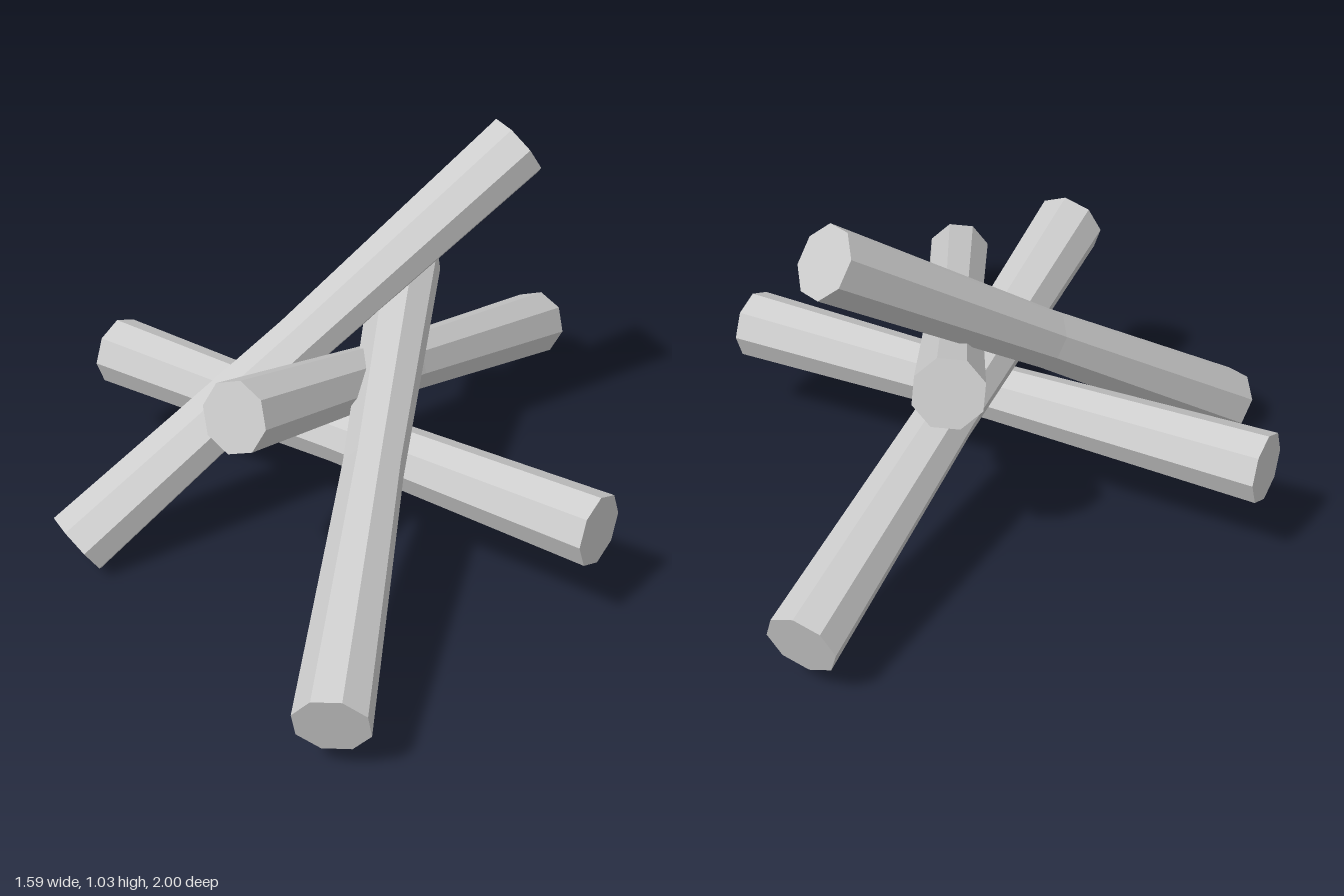
import * as THREE from 'three';

const END_RADIUS = 0.0975;
const WAIST_RADIUS = 0.081;
const UP = new THREE.Vector3(0, 1, 0);

// Eight-sided log, slightly narrower halfway along
function logGeometry(length) {
  const geometry = new THREE.CylinderGeometry(END_RADIUS, END_RADIUS, length, 8, 2);
  const p = geometry.attributes.position;
  const waist = WAIST_RADIUS / END_RADIUS;
  for (let i = 0; i < p.count; i++) {
    const t = Math.min(1, Math.abs(p.getY(i)) / (length / 2));
    const s = waist + (1 - waist) * t;
    p.setX(i, p.getX(i) * s);
    p.setZ(i, p.getZ(i) * s);
  }
  geometry.computeVertexNormals();
  return geometry;
}

// Log laid between the centres of its two ends
function makeLog(name, from, to, material) {
  const a = new THREE.Vector3(...from);
  const b = new THREE.Vector3(...to);
  const log = new THREE.Mesh(logGeometry(a.distanceTo(b)), material);
  log.name = name;
  log.position.copy(a).add(b).multiplyScalar(0.5);
  log.quaternion.setFromUnitVectors(UP, b.sub(a).normalize());
  return log;
}

export function createModel() {
  const group = new THREE.Group();
  group.name = 'logPile';
  const material = new THREE.MeshStandardMaterial({ color: 0xcccccc, flatShading: true });

  // Name, low end, high end
  const logs = [
    ['crossLog', [-0.795, 0.297, 0.077], [0.795, 0.297, 0.077]],
    ['steepLog', [-0.455, 0.083, 0.653], [0.147, 0.96, -0.537]],
    ['backLog', [-0.022, 0.163, -0.972], [0.018, 0.593, 0.557]],
    ['frontLog', [0.597, 0.164, 0.95], [-0.118, 0.59, -0.403]],
  ];
  for (const [name, from, to] of logs) group.add(makeLog(name, from, to, material));

  return group;
}
